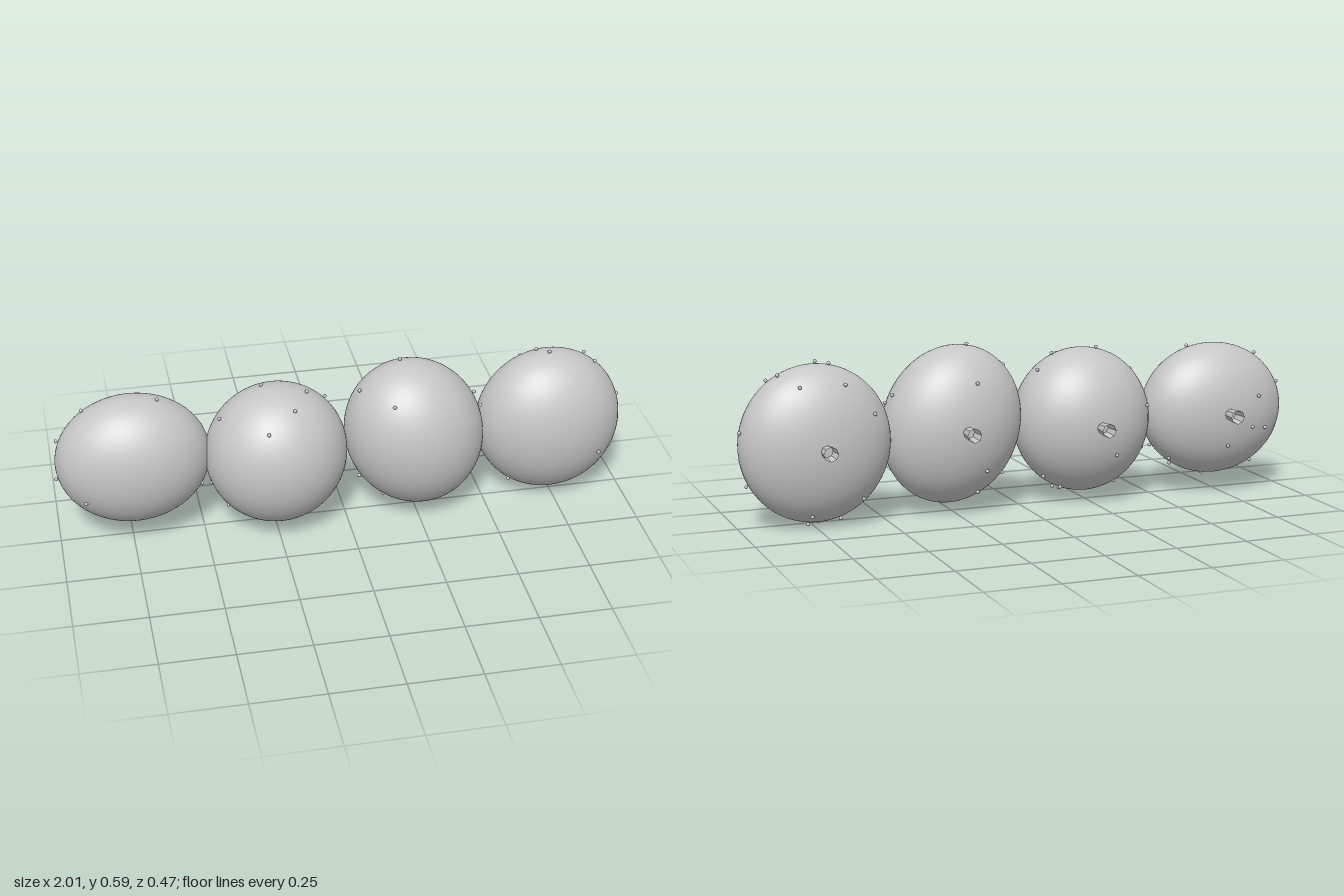
import * as THREE from 'three';

// Each pod: centre, radii [x, y, front depth, back depth], lean about z,
// rim studs as angles in degrees, face studs as [dx, dy] offsets from the centre.
const POD_1 = {
  centre: [-0.733, 0.3, -0.02], radii: [0.265, 0.235, 0.178, 0.155], lean: 0,
  rim: [130, 68, 162, 190, 233, 276, 312, 332],
  front: [[-0.17, -0.09]],
  back: [[-0.115, 0.055], [0, -0.11], [-0.09, -0.05], [-0.15, -0.06], [0.18, -0.16]],
};
const POD_2 = {
  centre: [-0.243, 0.287, 0.015], radii: [0.246, 0.254, 0.22, 0.19], lean: 0,
  rim: [100, 66, 47, 140, 207, 227, 243, 287, 297],
  front: [[-0.047, 0.163], [0.048, 0.213]],
  back: [[-0.2, 0.05], [0.16, -0.18], [0.1, -0.22], [-0.06, -0.1]],
};
const POD_3 = {
  centre: [0.245, 0.306, 0], radii: [0.241, 0.276, 0.21, 0.175], lean: 0.35,
  rim: [100, 136, 28, 20, 339, 218, 226, 245],
  front: [[-0.098, 0.178]],
  back: [[-0.04, 0.155], [-0.075, -0.14], [-0.06, -0.22]],
};
const POD_4 = {
  centre: [0.738, 0.281, -0.035], radii: [0.259, 0.267, 0.186, 0.148], lean: 0.1,
  rim: [100, 92, 62, 54, 12, 330, 253, 268, 277, 240],
  front: [[0.147, -0.076]],
  back: [[-0.08, 0.2], [0.07, 0.2], [-0.175, 0.1], [0.034, -0.225], [-0.14, -0.18]],
};

// Egg-like shell: different depth in front of and behind its widest section
function shellGeometry([rx, ry, front, back]) {
  const geometry = new THREE.SphereGeometry(1, 64, 48);
  const { position, normal } = geometry.attributes;
  const v = new THREE.Vector3();
  for (let i = 0; i < position.count; i++) {
    v.fromBufferAttribute(position, i);
    const depth = v.z > 0 ? front : back;
    position.setXYZ(i, v.x * rx, v.y * ry, v.z * depth);
    v.set(v.x / rx, v.y / ry, v.z / depth).normalize();
    normal.setXYZ(i, v.x, v.y, v.z);
  }
  return geometry;
}

// Stud centre just outside the shell, from an offset seen from the front
function studPosition([rx, ry, front, back], lean, dx, dy, side) {
  const v = new THREE.Vector3(dx, dy, 0).applyAxisAngle(new THREE.Vector3(0, 0, 1), -lean);
  v.set(v.x / rx, v.y / ry, 0).clampLength(0, 0.995);
  v.z = side * Math.sqrt(1 - v.lengthSq());
  v.multiply(new THREE.Vector3(rx, ry, side > 0 ? front : back));
  return v.setLength(v.length() + 0.007);
}

export function createModel() {
  const group = new THREE.Group();
  const grey = new THREE.MeshStandardMaterial({ color: 0xc6c6c6, side: THREE.DoubleSide });
  grey.name = 'lightGrey';

  const studGeometry = new THREE.SphereGeometry(0.0065, 12, 8);

  // Flared, open eight-sided peg, wide end pointing backwards
  const pegGeometry = new THREE.CylinderGeometry(0.017, 0.025, 0.09, 8, 1, true).toNonIndexed();
  pegGeometry.rotateX(Math.PI / 2);
  pegGeometry.computeVertexNormals();

  for (const { centre, radii, lean, rim, front, back } of [POD_1, POD_2, POD_3, POD_4]) {
    const pod = new THREE.Group();
    pod.name = 'pod';
    pod.position.set(...centre);

    // Leaning body with its studs
    const body = new THREE.Group();
    body.name = 'podBody';
    body.rotation.z = lean;
    const shell = new THREE.Mesh(shellGeometry(radii), grey);
    shell.name = 'shell';
    body.add(shell);

    const addStud = (dx, dy, side) => {
      const stud = new THREE.Mesh(studGeometry, grey);
      stud.name = 'stud';
      stud.position.copy(studPosition(radii, lean, dx, dy, side));
      body.add(stud);
    };
    rim.forEach((degrees, i) => {
      const angle = THREE.MathUtils.degToRad(degrees);
      addStud(Math.cos(angle), Math.sin(angle), i % 2 ? 1 : -1);
    });
    front.forEach(([dx, dy]) => addStud(dx, dy, 1));
    back.forEach(([dx, dy]) => addStud(dx, dy, -1));

    // Rear peg, all pegs ending in the same plane
    const peg = new THREE.Mesh(pegGeometry, grey);
    peg.name = 'rearPeg';
    peg.position.z = -0.189 - centre[2];

    pod.add(body, peg);
    group.add(pod);
  }
  return group;
}
